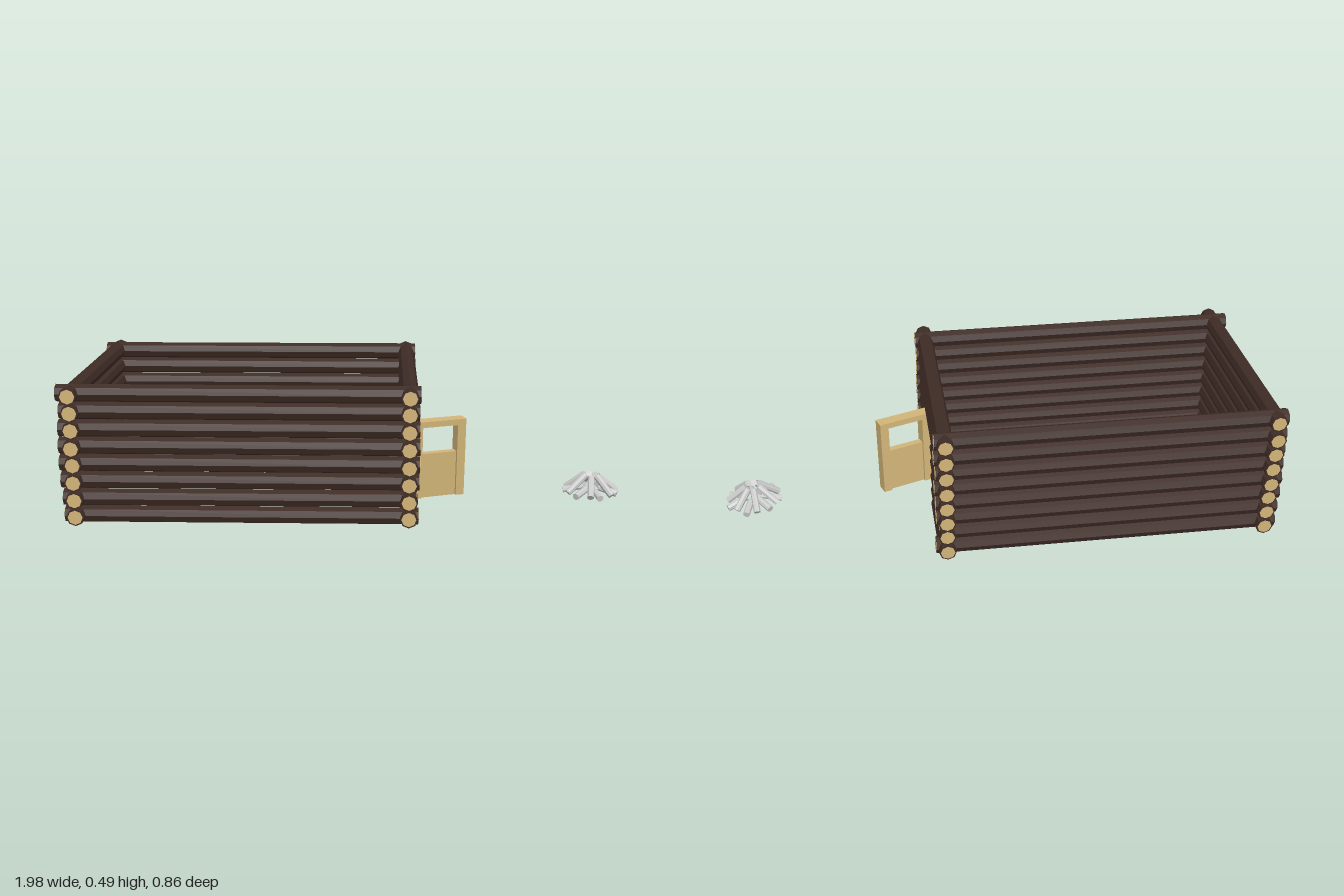
import * as THREE from 'three';

const mat = (color, flatShading = true) => new THREE.MeshStandardMaterial({ color, flatShading });
const bark = mat(0x3f2c26), wood = mat(0xd1b478), grey = mat(0xcccccc);

// small repeatable jitter in -1..1
let seed = 7;
function jitter(amount) {
  seed = (seed * 16807) % 2147483647;
  return (seed / 2147483647 * 2 - 1) * amount;
}

function cylinderBetween(name, a, b, r, material) {
  const dir = b.clone().sub(a);
  const mesh = new THREE.Mesh(new THREE.CylinderGeometry(r, r, dir.length(), 8), material);
  mesh.position.copy(a).add(b).multiplyScalar(0.5);
  mesh.quaternion.setFromUnitVectors(new THREE.Vector3(0, 1, 0), dir.normalize());
  mesh.name = name;
  return mesh;
}

// wall log: bark cylinder with a pale sawn core just proud of each end
function wallLog(a, b) {
  const log = new THREE.Group();
  log.name = 'wallLog';
  const along = b.clone().sub(a).normalize().multiplyScalar(0.0015);
  log.add(cylinderBetween('bark', a, b, 0.0305, bark));
  log.add(cylinderBetween('sawnEnds', a.clone().sub(along), b.clone().add(along), 0.0255, wood));
  return log;
}

const V = (x, y, z) => new THREE.Vector3(x, y, z);
const LEVELS = 8, PITCH = 0.0613, BASE = 0.0325;
const LEFT_X = 0.2, RIGHT_X = -0.945, WALL_Z = 0.37;

function createCabin() {
  const cabin = new THREE.Group();
  cabin.name = 'cabin';
  for (let i = 0; i < LEVELS; i++) {
    const y = BASE + i * PITCH;
    // front and back walls
    for (const s of [1, -1]) {
      const end = i === 1 ? 0.224 : 0.236 + jitter(0.003);
      cabin.add(wallLog(V(-0.992 + jitter(0.006), y + jitter(0.001), s * WALL_Z),
        V(end, y + jitter(0.001), s * WALL_Z)));
    }
    // end walls; the lower five logs of the +x wall are cut for the doorway
    const ends = x => [V(x, y + jitter(0.001), 0.42 + jitter(0.008)), V(x, y + jitter(0.001), -0.423 + jitter(0.006))];
    cabin.add(wallLog(...ends(RIGHT_X)));
    const [f, b] = ends(LEFT_X);
    if (i < 5) {
      cabin.add(wallLog(f, V(LEFT_X, y, 0.112)));
      cabin.add(wallLog(V(LEFT_X, y, -0.112), b));
    } else cabin.add(wallLog(f, b));
  }
  return cabin;
}

// door standing ajar, open window above a recessed panel
function createDoor() {
  const door = new THREE.Group();
  door.name = 'door';
  const W = 0.2, H = 0.292, T = 0.045, stile = 0.032, rail = 0.022;
  const box = (name, w, h, d, x, y) => {
    const mesh = new THREE.Mesh(new THREE.BoxGeometry(w, h, d), wood);
    mesh.position.set(x, y, 0);
    mesh.name = name;
    door.add(mesh);
  };
  for (const x of [stile / 2, W - stile / 2]) box('doorStile', stile, H, T, x, H / 2);
  box('topRail', W - 2 * stile, rail, T, W / 2, H - rail / 2);
  box('lowerPanel', W - 2 * stile, 0.168, 0.026, W / 2, 0.084);
  door.position.set(0.215, 0.008, 0.1);
  door.rotation.set(0.03, 0.34, 0, 'YXZ');
  return door;
}

// heap of firewood: a leaning cone of sticks with lower ones between
function createFirewood() {
  const pile = new THREE.Group();
  pile.name = 'firewoodPile';
  const count = 14;
  for (let i = 0; i < count; i++) {
    const a = i / count * Math.PI * 2 + jitter(0.08);
    const leaning = i % 2 === 0;
    const outer = (leaning ? 0.093 : 0.1) + jitter(0.005);
    const inner = leaning ? 0.024 : 0.03;
    const c = Math.cos(a), s = Math.sin(a);
    pile.add(cylinderBetween('stick',
      V(c * outer, leaning ? 0.018 : 0.016, s * outer),
      V(c * inner, (leaning ? 0.075 : 0.032) + jitter(0.004), s * inner), 0.0125, grey));
  }
  pile.position.set(0.885, 0, 0.024);
  return pile;
}

export function createModel() {
  seed = 7;
  const model = new THREE.Group();
  model.name = 'logCabin';
  model.add(createCabin(), createDoor(), createFirewood());
  return model;
}
